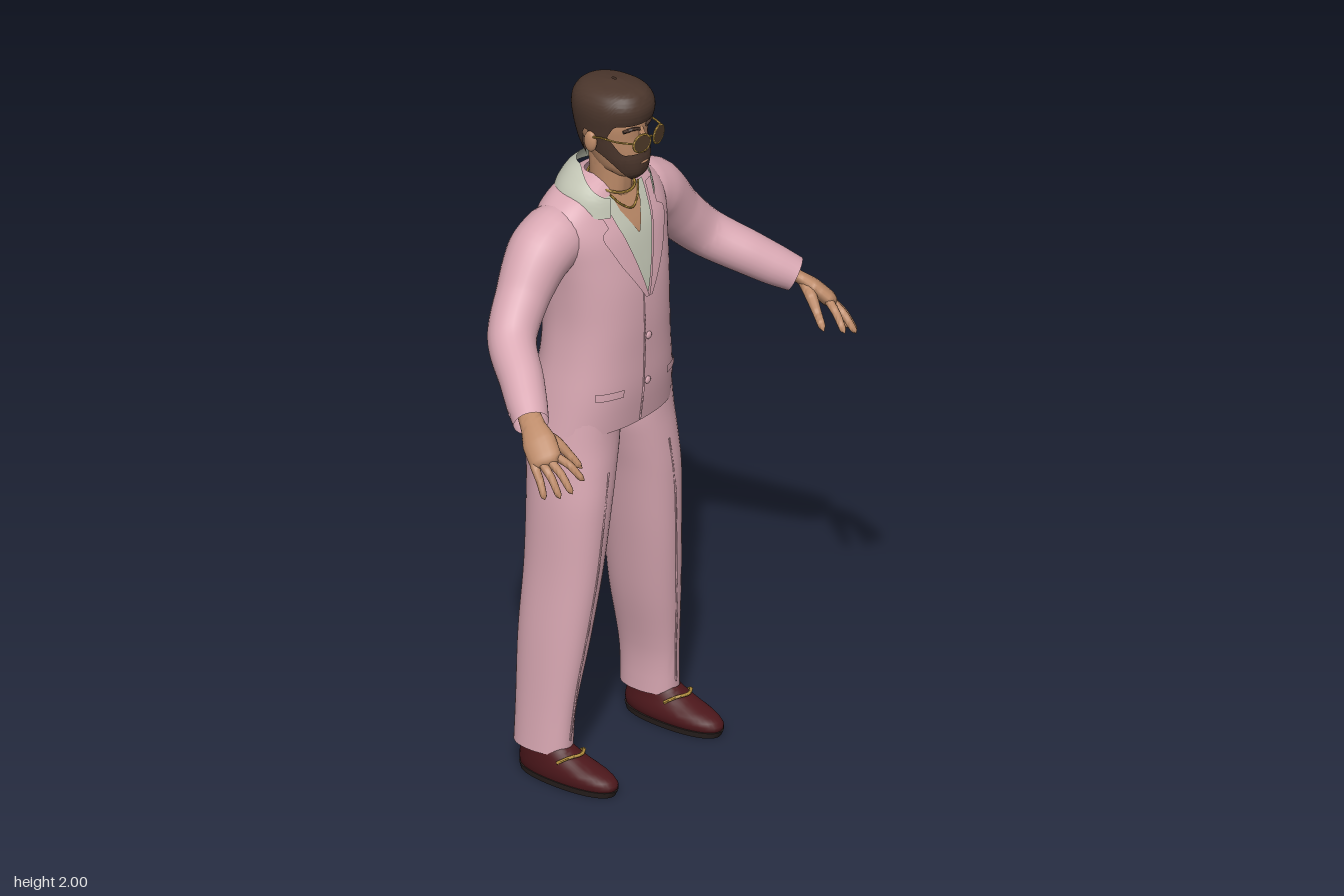
import * as THREE from 'three';
import { mergeVertices, toCreasedNormals } from 'three/addons/utils/BufferGeometryUtils.js';

const paint = (name, color) => new THREE.MeshStandardMaterial({ name, color, side: THREE.DoubleSide });
const suit = paint('pink suit', 0xd9a8b3), skin = paint('skin', 0xbc8a68), hair = paint('brown hair', 0x4b362c);
const shirt = paint('pale shirt', 0xc4c7b6), leather = paint('oxblood leather', 0x4c171b), sole = paint('dark sole', 0x2c2321);
const gold = paint('gold', 0xb08c3c), lens = paint('brown lens', 0x4e3a28);

const V = (x, y, z) => new THREE.Vector3(x, y, z);
const step = THREE.MathUtils.smoothstep;
const DEG = Math.PI / 180;

// smooth interpolation of profile rows [y, centreX, halfWidth, zFront, zBack]
function at(rows, y) {
  const n = rows.length;
  if (y <= rows[0][0]) return rows[0];
  if (y >= rows[n - 1][0]) return rows[n - 1];
  let k = 0;
  while (rows[k + 1][0] < y) k++;
  const a = rows[k], b = rows[k + 1], p = rows[Math.max(k - 1, 0)], q = rows[Math.min(k + 2, n - 1)];
  const h = b[0] - a[0], t = (y - a[0]) / h, t2 = t * t, t3 = t2 * t;
  return a.map((v, i) => {
    const m0 = (b[i] - p[i]) / (b[0] - p[0]) * h, m1 = (q[i] - v) / (q[0] - a[0]) * h;
    return (2 * t3 - 3 * t2 + 1) * v + (t3 - 2 * t2 + t) * m0 + (3 * t2 - 2 * t3) * b[i] + (t3 - t2) * m1;
  });
}
const pw = (v, n) => Math.sign(v) * Math.pow(Math.abs(v), 2 / n);

// grid surface from point(u, v), counter-clockwise with u to the right and v up
function grid(nu, nv, point) {
  const pos = [], idx = [], w = nu + 1;
  for (let j = 0; j <= nv; j++) for (let i = 0; i <= nu; i++) pos.push(...point(i / nu, j / nv, j));
  for (let j = 0; j < nv; j++) for (let i = 0; i < nu; i++) {
    const a = j * w + i;
    idx.push(a, a + 1, a + w + 1, a, a + w + 1, a + w);
  }
  const g = new THREE.BufferGeometry();
  g.setAttribute('position', new THREE.Float32BufferAttribute(pos, 3));
  g.setIndex(idx);
  return toCreasedNormals(mergeVertices(g, 1e-5), 1);
}

// upright body from profile rows; lo and hi may depend on the angle (0 = front)
function loft(rows, { n = 2.2, lo = rows[0][0], hi = rows[rows.length - 1][0], from = 0, to = 360, nu = 40, nv = 28, cap = false } = {}) {
  const f = e => typeof e === 'function' ? e : () => e;
  const last = cap ? nv + 2 : nv;
  return grid(nu, last, (u, v, j) => {
    const th = (from + (to - from) * u) * DEG;
    const d = Math.abs(((th / DEG + 180) % 360) - 180);
    const t = cap ? THREE.MathUtils.clamp((j - 1) / nv, 0, 1) : v;
    const y0 = f(lo)(d), y1 = f(hi)(d), y = y0 + (y1 - y0) * t * (2 - t);
    const [, cx, w, zf, zb] = at(rows, y), k = cap && (j === 0 || j === last) ? 0 : 1;
    return [cx + k * w * pw(Math.sin(th), n), y, (zf + zb) / 2 + k * (zf - zb) / 2 * pw(Math.cos(th), n)];
  });
}

// round limb through points [x, y, z, radius], optionally flattened along a normal
function limb(pts, { seg = 24, rad = 16, flat = null, k = 0, sx = 1, closed = false } = {}) {
  const curve = new THREE.CatmullRomCurve3(pts.map(p => V(p[0] * sx, p[1], p[2])), closed);
  const g = new THREE.TubeGeometry(curve, seg, 1, rad, closed), P = g.attributes.position, N = g.attributes.normal;
  for (let i = 0; i < P.count; i++) {
    const u = Math.floor(i / (rad + 1)) / seg, t = curve.getUtoTmapping(u) * (pts.length - (closed ? 0 : 1));
    const a = Math.min(Math.floor(t), pts.length - 1), b = (a + 1) % pts.length;
    const r = THREE.MathUtils.lerp(pts[a][3], pts[b][3], Math.min(t - a, 1));
    const o = V(N.getX(i), N.getY(i), N.getZ(i)).multiplyScalar(r);
    if (flat) o.addScaledVector(flat, -k * o.dot(flat));
    o.add(curve.getPointAt(u));
    P.setXYZ(i, o.x, o.y, o.z);
  }
  g.deleteAttribute('normal'); g.deleteAttribute('uv');
  return toCreasedNormals(mergeVertices(g, 1e-5), 1.2);
}
const wire = (pts, r, o = {}) => limb(pts.map(p => [...p, r]), { rad: 6, seg: 32, ...o });

const TORSO = [[1.015, 0, .222, .02, -.272], [1.12, 0, .206, .033, -.265], [1.22, 0, .19, .036, -.25], [1.32, 0, .182, .038, -.248],
  [1.42, 0, .187, .033, -.254], [1.5, 0, .198, .02, -.256], [1.58, 0, .212, 0, -.25], [1.635, 0, .205, -.025, -.24],
  [1.675, 0, .165, -.045, -.222], [1.705, 0, .1, -.06, -.2], [1.725, 0, .05, -.075, -.16]];
const LEG = [[.085, .223, .056, -.048, -.226], [.2, .217, .054, -.043, -.226], [.4, .19, .07, -.02, -.235], [.6, .165, .08, .0, -.232],
  [.8, .144, .094, .01, -.236], [.9, .127, .104, .007, -.246], [.98, .113, .112, .002, -.256], [1.07, .108, .105, 0, -.25]];
const SHOE = [[.012, .222, .053, .1, -.207], [.03, .221, .058, .11, -.212], [.05, .222, .056, .085, -.21],
  [.07, .224, .05, .025, -.206], [.09, .225, .045, -.025, -.2], [.102, .225, .04, -.045, -.19]];
const HEAD = [[1.735, 0, .03, 0, -.09], [1.75, 0, .048, .01, -.12], [1.8, 0, .066, .016, -.15], [1.85, 0, .078, .014, -.17],
  [1.9, 0, .082, .016, -.178], [1.95, 0, .07, 0, -.165], [1.975, 0, .03, -.04, -.12]];
const HAIR = [[1.77, 0, .058, -.01, -.155], [1.82, 0, .077, .01, -.177], [1.88, 0, .089, .022, -.192], [1.93, 0, .095, .036, -.197],
  [1.965, 0, .086, .028, -.188], [1.988, 0, .058, 0, -.158], [2, 0, .004, -.07, -.085]];
const BEARD = [[1.73, 0, .035, .004, -.09], [1.75, 0, .054, .022, -.125], [1.79, 0, .07, .028, -.15],
  [1.82, 0, .077, .024, -.163], [1.89, 0, .086, .022, -.178]];
const COLLAR = [[1.635, 0, .152, .005, -.24], [1.69, 0, .139, -.005, -.228], [1.735, 0, .108, -.02, -.205], [1.762, 0, .08, -.035, -.175]];

// depth of the jacket surface at x, y
function torsoZ(x, y, dir = 1, off = 0) {
  const [, , w, zf, zb] = at(TORSO, y), n = 2.4;
  return (zf + zb) / 2 + dir * ((zf - zb) / 2 * Math.pow(Math.max(0, 1 - Math.abs(x / w) ** n), 1 / n) + off);
}
// cloth lying on the jacket, rows [y, x0, x1] from low to high
function patch(rows, off, dir = 1) {
  return grid(8, 24, (u, v) => {
    const y = rows[0][0] + (rows[rows.length - 1][0] - rows[0][0]) * v;
    const k = Math.max(1, rows.findIndex(r => r[0] >= y - 1e-9)), a = rows[k - 1], b = rows[k];
    const t = (y - a[0]) / (b[0] - a[0]), l = a[1] + (b[1] - a[1]) * t, r = a[2] + (b[2] - a[2]) * t;
    const x = dir > 0 ? l + (r - l) * u : r + (l - r) * u;
    return [x, y, torsoZ(x, y, dir, off)];
  });
}
const mirrorRows = (rows, s) => rows.map(([y, a, b]) => s > 0 ? [y, a, b] : [y, -b, -a]);

export function createModel() {
  const model = new THREE.Group();
  const add = (name, geo, mat) => {
    const m = new THREE.Mesh(geo, mat);
    m.name = name;
    model.add(m);
    return m;
  };
  const ball = (name, mat, p, s) => {
    const m = add(name, new THREE.SphereGeometry(1, 16, 12), mat);
    m.position.set(...p); m.scale.set(...s);
  };

  // jacket, shirt front and neck
  add('jacket', loft(TORSO, { n: 2.4, nu: 56, nv: 48 }), suit);
  add('shirtFront', patch([[1.4, -.003, .003], [1.5, -.036, .036], [1.6, -.068, .068], [1.68, -.085, .085]], .003), shirt);
  add('chest', patch([[1.57, -.003, .003], [1.64, -.042, .042], [1.69, -.055, .055]], .006), skin);
  add('neck', loft([[1.62, 0, .056, -.04, -.15], [1.7, 0, .052, -.032, -.145], [1.79, 0, .054, -.03, -.15]]), skin);
  add('shirtCollar', loft(COLLAR, { from: 34, to: 326, nv: 12,
    lo: d => 1.638 + .06 * step(d, 40, 170), hi: d => 1.69 + .07 * step(d, 30, 110) }), shirt);
  add('jacketEdge', wire([1.41, 1.3, 1.2, 1.1, 1.02].map(y => [-.012, y, torsoZ(0, y)]), .003), suit);
  for (const y of [1.27, 1.135]) ball('button', suit, [.002, y, torsoZ(0, y) + .002], [.011, .011, .005]);
  add('ventFlap', patch([[1.02, -.02, .025], [1.15, -.006, .015]], .005, -1), suit);

  // necklaces
  const ring = [...Array(12).keys()].map(i => i * Math.PI / 6);
  add('necklace', wire(ring.map(a => [.06 * Math.sin(a), 1.7 - .017 * Math.cos(a), -.088 + .064 * Math.cos(a)]), .004, { closed: true, seg: 48 }), gold);
  add('longNecklace', wire([[-.058, 1.685], [-.035, 1.655], [0, 1.635], [.035, 1.655], [.058, 1.685]]
    .map(([x, y]) => [x, y, torsoZ(x, y) + .01]), .003), gold);

  for (const s of [1, -1]) {
    const side = s > 0 ? 'left' : 'right';
    // lapel and pocket
    add(side + 'Lapel', patch(mirrorRows([[1.39, 0, .012], [1.5, .034, .085], [1.585, .062, .128], [1.6, .068, .122], [1.605, .069, .1], [1.67, .085, .115]], s), .008), suit);
    add(side + 'Pocket', patch(mirrorRows([[1.118, .09, .165], [1.14, .09, .165]], s), .006), suit);

    // sleeve with buttons at the cuff
    add(side + 'Sleeve', limb([[.1, 1.6, -.135, .07], [.17, 1.58, -.138, .09], [.235, 1.55, -.14, .09], [.32, 1.46, -.13, .073], [.4, 1.375, -.1, .066],
      [.475, 1.31, -.005, .06], [.52, 1.272, .05, .055], [.552, 1.247, .09, .048]], { seg: 44, rad: 24, sx: s }), suit);
    for (let i = 0; i < 3; i++) ball('cuffButton', suit, [s * (.545 + i * .012), 1.279 - i * .009, .004 + i * .015], [.007, .007, .007]);

    // hand
    const flat = V(.69 * s, .65, .31).normalize();
    add(side + 'Palm', limb([[.53, 1.262, .06, .03], [.556, 1.24, .1, .034], [.575, 1.215, .135, .046], [.594, 1.183, .172, .045], [.6, 1.172, .184, .03], [.603, 1.168, .188, .002]],
      { sx: s, flat, k: .52 }), skin);
    const fingers = [[[.573, 1.192, .188], [.545, 1.13, .266]], [[.59, 1.182, .185], [.594, 1.11, .266]],
      [[.605, 1.173, .174], [.62, 1.1, .245]], [[.617, 1.165, .155], [.636, 1.09, .205]]];
    for (const [a, b] of fingers) {
      const p = (t, r, up = 0) => [...a.map((v, i) => v + (b[i] - v) * t + (i === 1 ? up : 0)), r];
      add(side + 'Finger', limb([p(-.25, .009), p(0, .0125), p(.5, .011, .008), p(.9, .009), p(1, .001)], { sx: s, rad: 10, seg: 16 }), skin);
    }
    add(side + 'Thumb', limb([[.556, 1.235, .115, .016], [.535, 1.208, .16, .016], [.52, 1.175, .193, .012], [.51, 1.148, .217, .01], [.506, 1.138, .227, .001]],
      { sx: s, rad: 10 }), skin);

    // trouser leg with pressed creases
    const flip = rows => rows.map(([y, x, ...r]) => [y, x * s, ...r]);
    add(side + 'TrouserLeg', loft(flip(LEG), { nv: 40 }), suit);
    for (const e of [3, 4]) add(side + 'Crease', wire([.9, .75, .6, .45, .3, .12].map(y => {
      const r = at(LEG, y);
      return [r[1], y, r[e]];
    }), .003, { sx: s }), suit);

    // loafer
    add(side + 'Ankle', loft(flip([[.05, .224, .038, -.08, -.19], [.16, .22, .04, -.075, -.19]]), { nv: 4 }), skin);
    add(side + 'Shoe', loft(flip(SHOE), { nv: 16 }), leather);
    add(side + 'Sole', loft(flip([[0, .221, .054, .1, -.208], [.018, .221, .059, .109, -.213]]), { nv: 2, cap: true }), sole);
    add(side + 'ShoeBit', wire([[.174, .072, -.05], [.19, .088, -.025], [.224, .092, -.008], [.258, .088, -.025], [.274, .072, -.05]], .005, { sx: s }), gold);

    // ear, brow and glasses
    ball(side + 'Ear', skin, [s * .09, 1.845, -.085], [.012, .03, .02]);
    add(side + 'Brow', wire([[.014, 1.886, .02], [.035, 1.892, .016], [.058, 1.885, 0]], .005, { sx: s }), hair);
    const rim = ring.map(a => [.035 + .028 * Math.cos(a), 1.86 + .025 * Math.sin(a), .046 - .006 * Math.cos(a)]);
    add(side + 'Rim', wire(rim, .003, { sx: s, closed: true }), gold);
    const glass = add(side + 'Lens', new THREE.CylinderGeometry(.028, .028, .004, 24).rotateX(Math.PI / 2).scale(1, .9, 1), lens);
    glass.position.set(s * .035, 1.86, .046);
    glass.rotation.y = s * .2;
    add(side + 'Temple', wire([[.063, 1.866, .04], [.082, 1.866, .0], [.093, 1.866, -.06], [.094, 1.85, -.1]], .003, { sx: s }), gold);
  }

  // head
  add('head', loft(HEAD), skin);
  add('nose', limb([[0, 1.885, .01, .008], [0, 1.86, .02, .01], [0, 1.835, .028, .014], [0, 1.822, .022, .011], [0, 1.818, .015, .002]]), skin);
  add('bridge', wire([[-.009, 1.864, .044], [0, 1.868, .047], [.009, 1.864, .044]], .003), gold);
  add('hair', loft(HAIR, { nu: 64, nv: 36,
    lo: d => 1.905 - .055 * step(d, 52, 72) + .025 * step(d, 84, 96) - .1 * step(d, 100, 128) }), hair);
  add('beard', loft(BEARD, { from: -104, to: 104, nu: 56,
    lo: d => 1.732 + .085 * step(d, 30, 104), hi: d => 1.815 + .06 * step(d, 42, 78) }), hair);
  ball('lips', skin, [0, 1.786, .026], [.016, .004, .005]);
  return model;
}
